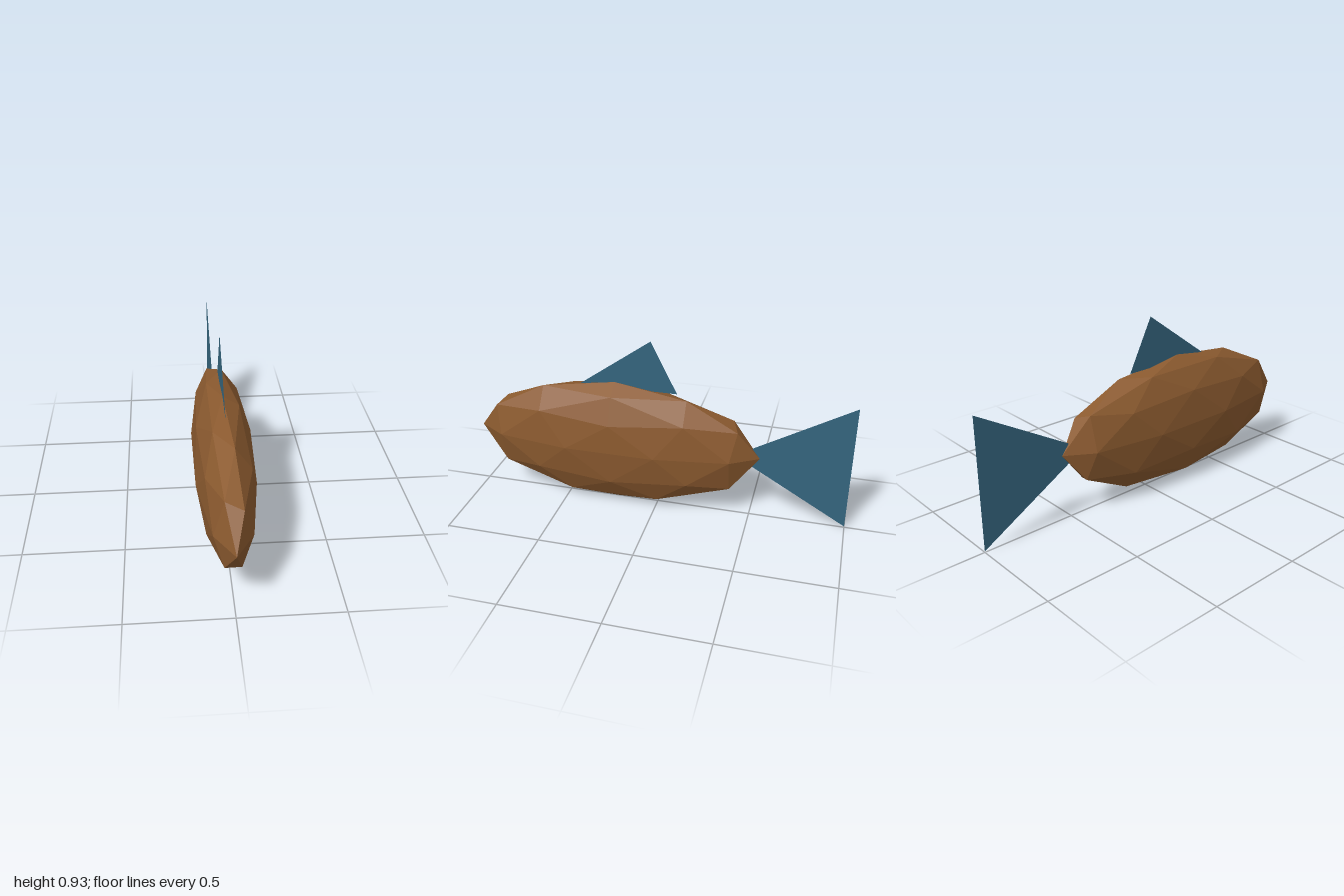
import * as THREE from 'three';

const bodyBrown = new THREE.MeshStandardMaterial({ name: 'bodyBrown', color: 0x8b5a2f, flatShading: true });
const finBlue = new THREE.MeshStandardMaterial({ name: 'finBlue', color: 0x35667f, side: THREE.DoubleSide });

// Flat triangular fin in the x = 0 plane, from [z, y] corners
function makeFin(name, corners) {
  const shape = new THREE.Shape(corners.map(([z, y]) => new THREE.Vector2(-z, y)));
  const geometry = new THREE.ShapeGeometry(shape);
  geometry.rotateY(Math.PI / 2); // shape x runs towards -z
  const fin = new THREE.Mesh(geometry, finBlue);
  fin.name = name;
  return fin;
}

export function createModel() {
  const group = new THREE.Group();
  group.name = 'fish';

  // Body: faceted icosphere turned so a five-sided corner sits on top, then flattened
  const geometry = new THREE.IcosahedronGeometry(1, 1);
  geometry.rotateZ(-Math.atan(2 / (1 + Math.sqrt(5))));
  geometry.scale(0.154, 0.345, 0.77);
  geometry.translate(0, 0.345, 0.23);
  geometry.computeVertexNormals();
  const body = new THREE.Mesh(geometry, bodyBrown);
  body.name = 'body';
  group.add(body);

  // Fins
  group.add(makeFin('tailFin', [[-0.407, 0.347], [-1, 0.005], [-1, 0.69]]));
  group.add(makeFin('dorsalFin', [[0.42, 0.66], [-0.1, 0.66], [0.038, 0.933]]));

  return group;
}
